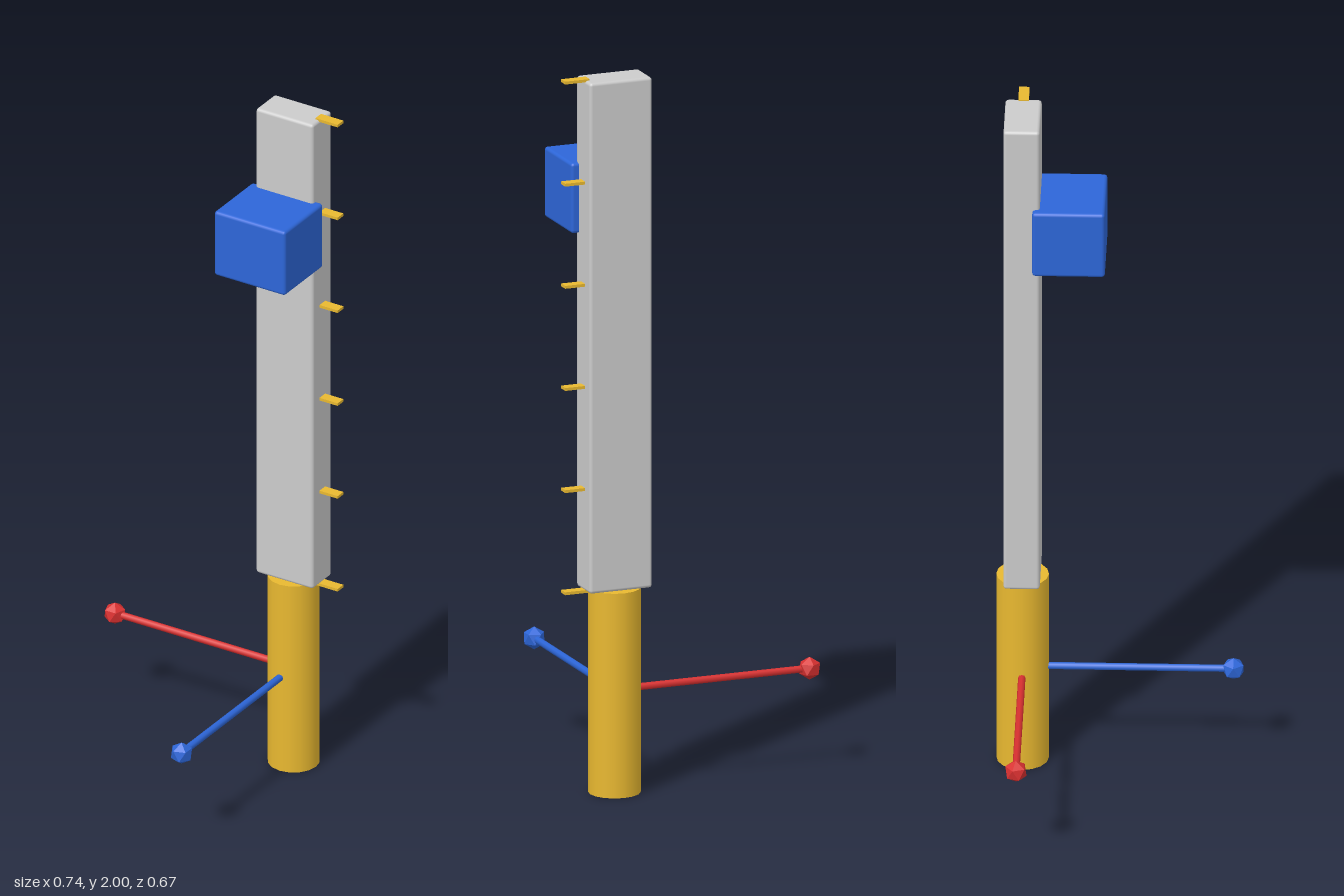
import * as THREE from 'three';
import { RoundedBoxGeometry } from 'three/addons/geometries/RoundedBoxGeometry.js';

const CX = 0.224, CZ = -0.265; // shared upright axis

export function createModel() {
  const root = new THREE.Group();
  const grey = new THREE.MeshStandardMaterial({ color: 0xcccccc });
  const yellow = new THREE.MeshStandardMaterial({ color: 0xe8b830 });
  const red = new THREE.MeshStandardMaterial({ color: 0xd83030 });
  const blue = new THREE.MeshStandardMaterial({ color: 0x2d66d8 });

  const add = (name, geometry, material, x, y, z, parent = root) => {
    const mesh = new THREE.Mesh(geometry, material);
    mesh.name = name;
    mesh.position.set(x, y, z);
    parent.add(mesh);
    return mesh;
  };

  // Post and bar
  add('post', new THREE.CylinderGeometry(0.071, 0.071, 0.571, 16), yellow, CX, 0.2855, CZ);
  add('bar', new RoundedBoxGeometry(0.182, 1.425, 0.098, 2, 0.009), grey, CX, 1.284, CZ);

  // Sliding block on the front of the bar
  add('slidingBlock', new RoundedBoxGeometry(0.226, 0.196, 0.196, 2, 0.009), blue, CX, 1.658, -0.138);

  // Evenly spaced scale ticks along the left edge
  const tickGeometry = new THREE.BoxGeometry(0.071, 0.008, 0.0285);
  for (let i = 0; i < 6; i++) {
    add('tick', tickGeometry, yellow, 0.3375, 0.571 + i * 0.285, CZ);
  }

  // Rods with faceted knobs, each built along +z then turned
  const knobGeometry = new THREE.IcosahedronGeometry(0.032, 0);
  // Stand the knob on one of its corners
  knobGeometry.rotateZ(Math.atan(2 / (1 + Math.sqrt(5))));
  const addAxis = (name, material, length, turn) => {
    const axis = new THREE.Group();
    axis.name = name;
    axis.position.set(CX, 0.2855, CZ);
    axis.rotation.y = turn;
    const rod = new THREE.CylinderGeometry(0.01, 0.01, length, 8).rotateX(Math.PI / 2);
    add('rod', rod, material, 0, 0, length / 2, axis);
    const faceted = material.clone();
    faceted.flatShading = true;
    add('knob', knobGeometry, faceted, 0, 0, length, axis);
    root.add(axis);
  };
  addAxis('sideAxis', red, 0.568, -Math.PI / 2);
  addAxis('frontAxis', blue, 0.568, 0);

  return root;
}
